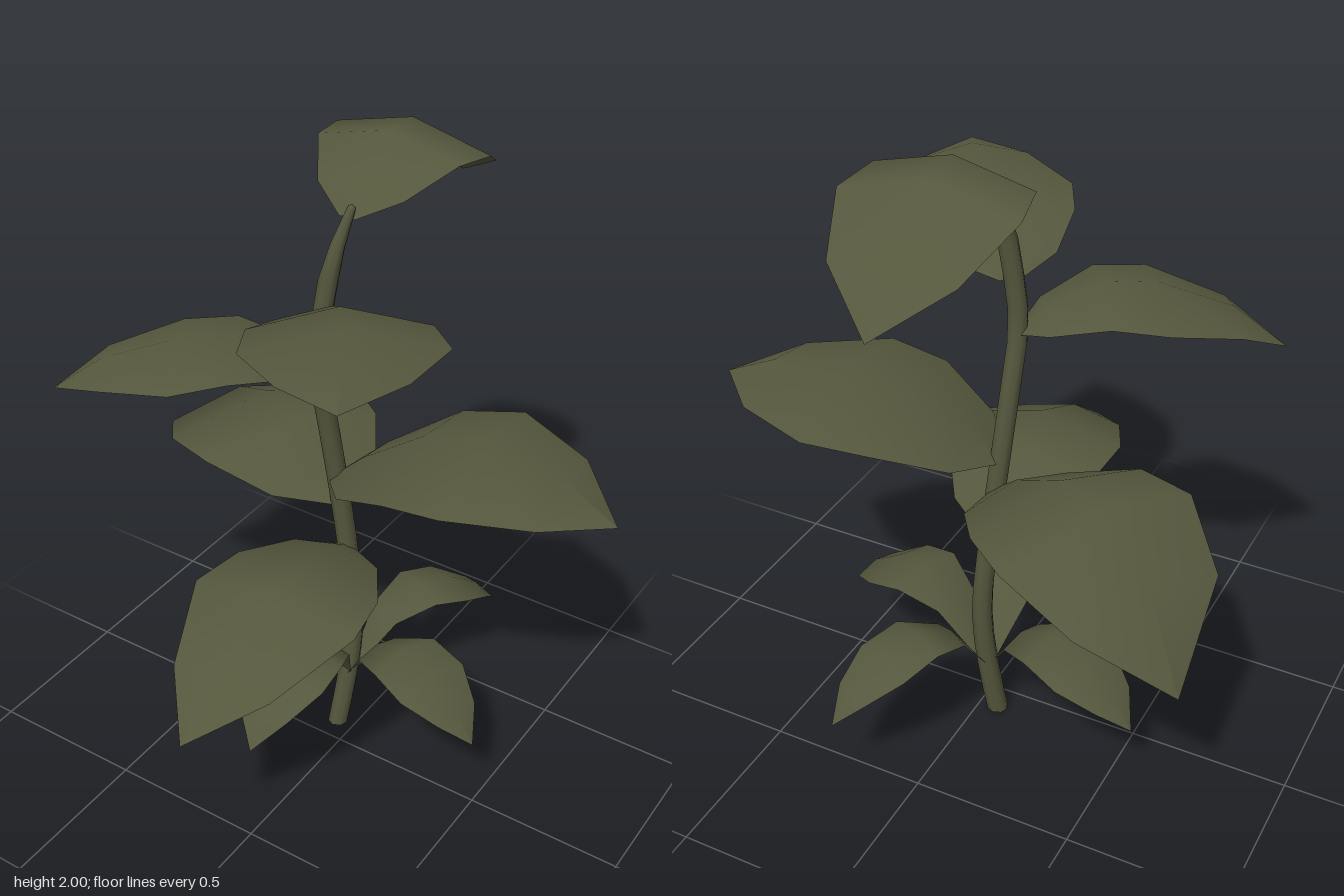
import * as THREE from 'three';

const V = (x, y, z) => new THREE.Vector3(x, y, z);

// Leaf blade: a drooping midrib with two edges hanging below it.
// bend bows the blade sideways, shoulder is its relative width near the tip.
function leafGeometry({ root, tip, heights, width, bend = 0, shoulder = 0.6, small = false }) {
  const along = small ? [0, 0.24, 0.46, 0.68, 0.87, 1] : [0, 0.1, 0.31, 0.52, 0.8, 1];
  const spread = small ? [0.08, 0.6, 0.95, 1, shoulder, 0] : [0.1, 0.55, 0.9, 1, shoulder, 0];
  const dx = tip[0] - root[0], dz = tip[1] - root[1], len = Math.hypot(dx, dz);
  const pos = [], index = [];
  along.forEach((t, i) => {
    const w = width * spread[i];
    for (const side of [-1, 0, 1]) {
      const off = side * w + bend * Math.sin(Math.PI * t);
      pos.push(
        root[0] + dx * t + off * dz / len,
        heights[i] - Math.abs(side) * w * 0.25,
        root[1] + dz * t - off * dx / len
      );
    }
    if (i === 0) return;
    for (let k = 0; k < 2; k++) {
      const a = (i - 1) * 3 + k, b = a + 3;
      index.push(a, b, a + 1, a + 1, b, b + 1);
    }
  });
  const g = new THREE.BufferGeometry();
  g.setAttribute('position', new THREE.Float32BufferAttribute(pos, 3));
  g.setIndex(index.reverse());
  g.computeVertexNormals();
  return g;
}

// Bent stem, tapering towards the top
function stemGeometry() {
  const curve = new THREE.CatmullRomCurve3([
    V(-0.06, 0, -0.08), V(-0.04, 0.2, -0.108), V(-0.03, 0.42, -0.128), V(-0.045, 0.65, -0.122),
    V(-0.07, 0.9, -0.107), V(-0.09, 1.18, -0.07), V(-0.1, 1.4, -0.036), V(-0.085, 1.57, -0.045),
    V(-0.064, 1.72, -0.065), V(-0.04, 1.85, -0.115)
  ]);
  const rings = 18, sides = 8;
  const g = new THREE.TubeGeometry(curve, rings, 1, sides, false);
  const p = g.attributes.position, v = V(0, 0, 0);
  for (let i = 0; i <= rings; i++) {
    const t = i / rings, c = curve.getPointAt(t);
    const r = t < 0.9 ? 0.034 - 0.005 * t : 0.0295 - 0.0165 * (t - 0.9) / 0.1;
    for (let j = 0; j <= sides; j++) {
      const k = i * (sides + 1) + j;
      v.fromBufferAttribute(p, k).sub(c).multiplyScalar(r).add(c);
      p.setXYZ(k, v.x, i === 0 ? 0 : v.y, v.z);
    }
  }
  return g;
}

export function createModel() {
  const model = new THREE.Group();
  const green = new THREE.MeshStandardMaterial({ color: 0x55573d, side: THREE.DoubleSide });
  green.name = 'olive green';

  const add = (name, geometry) => {
    const mesh = new THREE.Mesh(geometry, green);
    mesh.name = name;
    model.add(mesh);
    return mesh;
  };

  add('stem', stemGeometry());
  const base = add('stemBase', new THREE.CircleGeometry(0.034, 8).rotateX(Math.PI / 2));
  base.position.set(-0.06, 0, -0.08);
  const end = add('stemTip', new THREE.SphereGeometry(0.013, 8, 5));
  end.position.set(-0.04, 1.85, -0.115);

  // Large leaves: root and tip are [x, z], heights follow the midrib
  const large = {
    topLeaf: { root: [-0.05, -0.11], tip: [-0.075, -0.8], heights: [1.83, 1.91, 2, 1.99, 1.87, 1.71], width: 0.25, shoulder: 0.7 },
    upperFrontLeaf: { root: [-0.08, -0.05], tip: [0.34, 0.53], heights: [1.54, 1.61, 1.69, 1.71, 1.7, 1.66], width: 0.28, bend: 0.035 },
    upperRightLeaf: { root: [-0.1, -0.04], tip: [-0.755, 0.365], heights: [1.38, 1.44, 1.5, 1.485, 1.41, 1.29], width: 0.22, bend: 0.05 },
    middleLeftLeaf: { root: [-0.08, -0.09], tip: [0.805, -0.18], heights: [0.98, 1.06, 1.18, 1.215, 1.17, 1.08], width: 0.315, bend: 0.045, shoulder: 0.64 },
    middleBackLeaf: { root: [-0.07, -0.11], tip: [-0.81, -0.51], heights: [0.88, 0.95, 1.04, 1.045, 0.93, 0.68], width: 0.33, bend: 0.035, shoulder: 0.75 },
    lowerFrontLeaf: { root: [-0.05, -0.12], tip: [0, 0.8], heights: [0.71, 0.775, 0.845, 0.865, 0.745, 0.61], width: 0.268, bend: 0.03 }
  };
  for (const [name, spec] of Object.entries(large)) add(name, leafGeometry(spec));

  // Whorl of four small leaves near the ground
  const low = [0.19, 0.4, 0.46, 0.43, 0.36, 0.265];
  const whorl = {
    smallRightLeaf: { tip: [-0.59, -0.26], heights: low, width: 0.135 },
    smallLeftLeaf: { tip: [0.505, 0.03], heights: low, width: 0.135 },
    smallFrontLeaf: { tip: [-0.025, 0.455], heights: [0.19, 0.43, 0.51, 0.5, 0.42, 0.3], width: 0.145 },
    smallBackLeaf: { tip: [0.205, -0.64], heights: low, width: 0.11 }
  };
  for (const [name, spec] of Object.entries(whorl))
    add(name, leafGeometry({ root: [-0.04, -0.11], small: true, ...spec }));

  return model;
}
